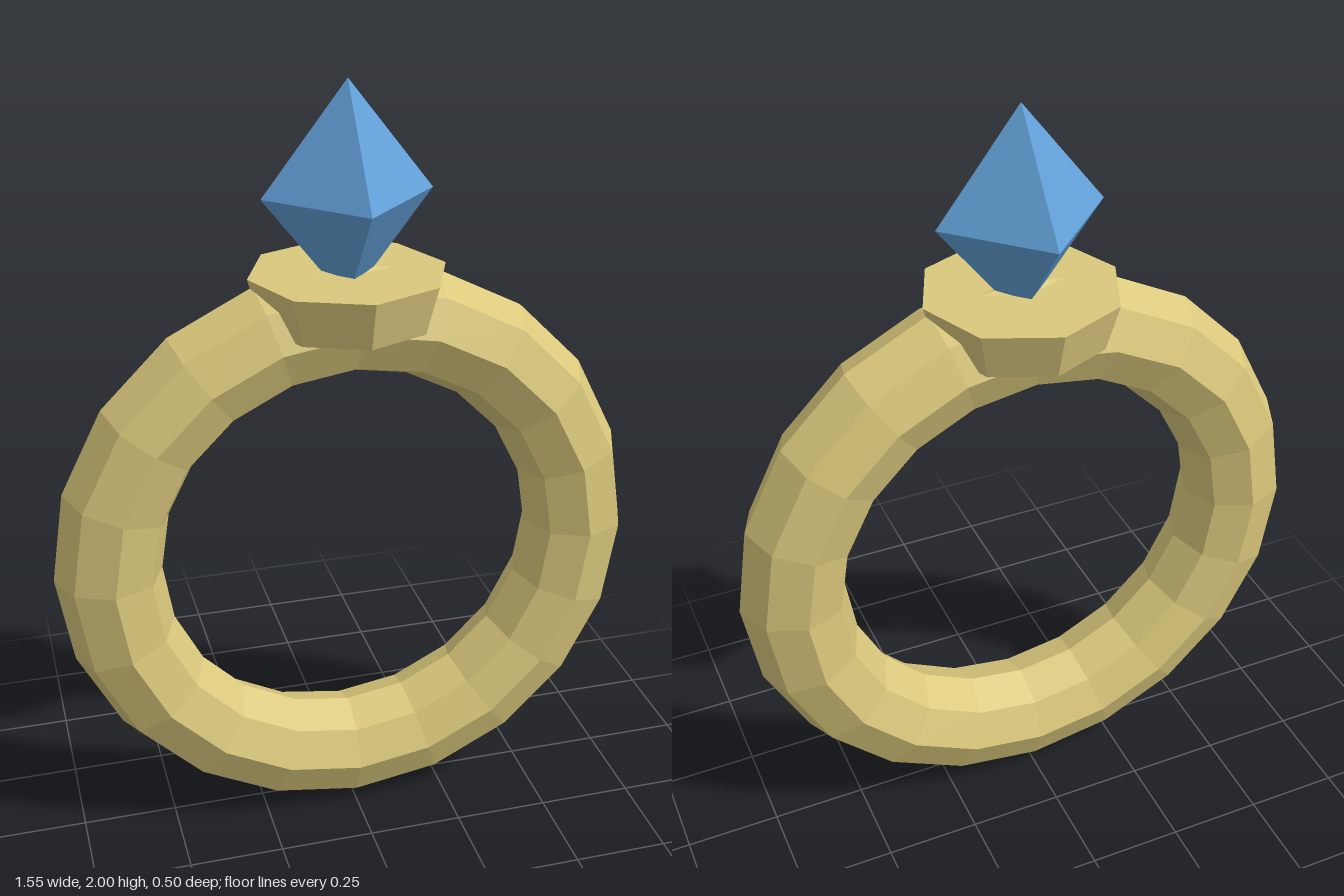
import * as THREE from 'three';

export function createModel() {
  const gold = new THREE.MeshStandardMaterial({ color: 0xdac87c, flatShading: true });
  gold.name = 'gold';
  const blue = new THREE.MeshStandardMaterial({ color: 0x62a0d8, flatShading: true });
  blue.name = 'gemBlue';

  const group = new THREE.Group();
  group.name = 'gemRing';
  const add = (name, geometry, material, y) => {
    const mesh = new THREE.Mesh(geometry, material);
    mesh.name = name;
    mesh.position.y = y;
    group.add(mesh);
  };

  // Octagonal-section band standing upright
  add('band', new THREE.TorusGeometry(0.635, 0.139, 8, 20), gold, 0.774);

  // Flared eight-sided setting
  add('setting', new THREE.CylinderGeometry(0.252, 0.218, 0.125, 8), gold, 1.468);

  // Stretched octahedral gem, its lower tip sunk into the setting
  const gem = new THREE.OctahedronGeometry(1).scale(0.214, 0.275, 0.214);
  add('gem', gem, blue, 1.725);

  return group;
}
